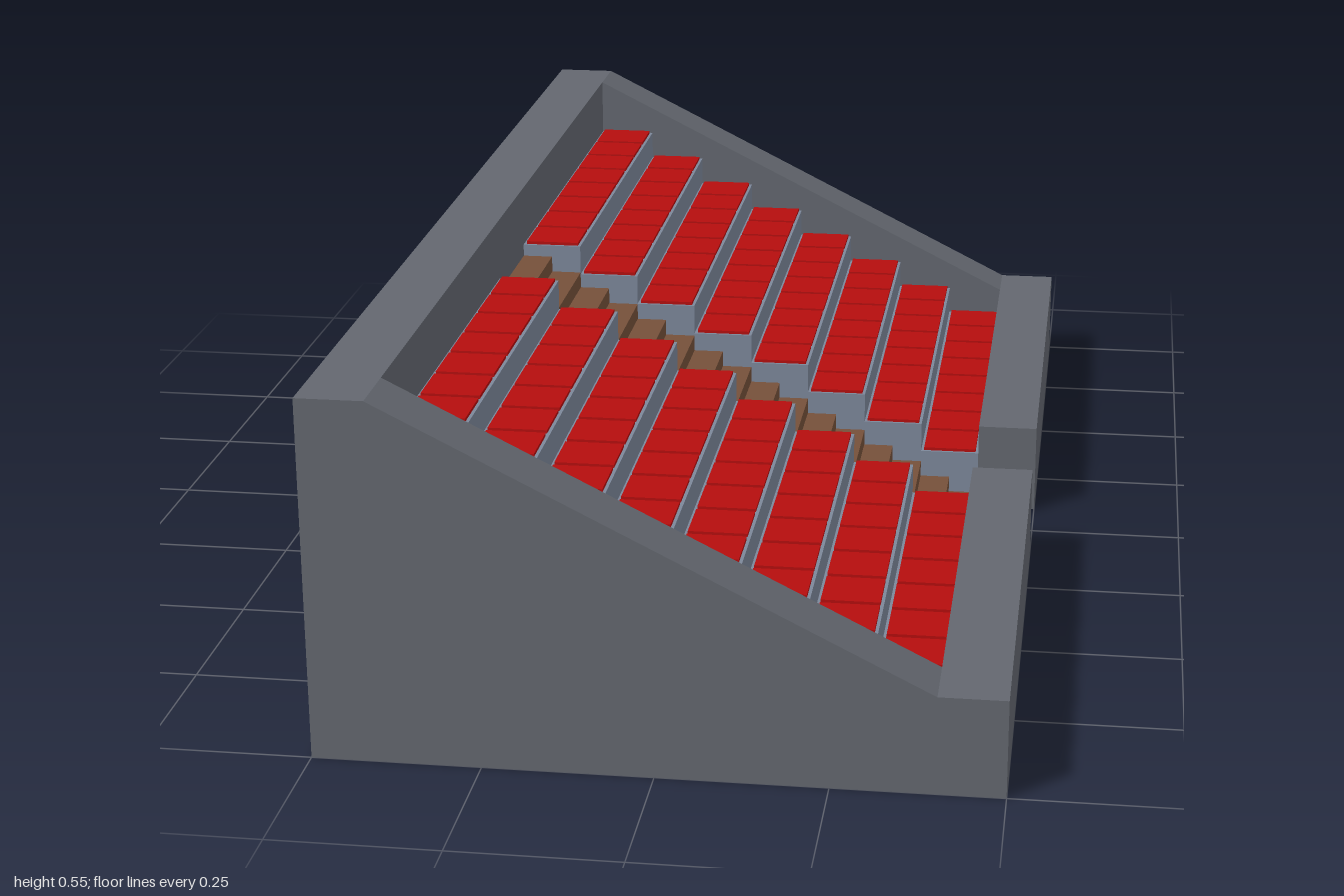
import * as THREE from 'three';

const paint = (color) => new THREE.MeshStandardMaterial({ color, flatShading: true });
const wallMat = paint(0x63676f), tierMat = paint(0x7c879a), seatMat = paint(0xb50d0d), stairMat = paint(0x75503a);

// Box given by its minimum and maximum corners
function block(name, mat, [x0, y0, z0], [x1, y1, z1]) {
  const mesh = new THREE.Mesh(new THREE.BoxGeometry(x1 - x0, y1 - y0, z1 - z0), mat);
  mesh.position.set((x0 + x1) / 2, (y0 + y1) / 2, (z0 + z1) / 2);
  mesh.name = name;
  return mesh;
}

export function createModel() {
  const model = new THREE.Group();
  model.name = 'grandstand';

  // Sloping end walls, extruded from their side profile
  const profile = new THREE.Shape([
    [-0.5, 0], [0.5, 0], [0.5, 0.15], [0.4, 0.15], [-0.4, 0.55], [-0.5, 0.55],
  ].map(([x, y]) => new THREE.Vector2(x, y)));
  const endGeo = new THREE.ExtrudeGeometry(profile, { depth: 0.1, bevelEnabled: false });
  for (const [name, z] of [['frontEndWall', 0.9], ['backEndWall', -1]]) {
    const wall = new THREE.Mesh(endGeo, wallMat);
    wall.name = name;
    wall.position.z = z;
    model.add(wall);
  }

  // Tall wall behind the top row, low wall with an entrance gap before the bottom row
  model.add(block('tallWall', wallMat, [-0.5, 0, -0.9], [-0.4, 0.55, 0.9]));
  model.add(block('lowWallFront', wallMat, [0.4, 0, 0.1], [0.5, 0.15, 0.9]));
  model.add(block('lowWallBack', wallMat, [0.4, 0, -0.9], [0.5, 0.15, -0.1]));

  // Tiers with eight thin seat pads each, on both sides of the aisle
  for (const side of [1, -1]) {
    const stand = new THREE.Group();
    stand.name = side > 0 ? 'frontStand' : 'backStand';
    for (let row = 0; row < 8; row++) {
      const x = 0.35 - row * 0.1, top = 0.1 + row * 0.05, mid = side * 0.5;
      stand.add(block('tier', tierMat, [x - 0.05, top - 0.1, mid - 0.4], [x + 0.05, top, mid + 0.4]));
      for (let i = 0; i < 8; i++) {
        const z = mid - 0.35 + i * 0.1;
        stand.add(block('seat', seatMat, [x - 0.045, top, z - 0.045], [x + 0.045, top + 0.005, z + 0.045]));
      }
    }
    model.add(stand);
  }

  // Aisle stairs
  const stairs = new THREE.Group();
  stairs.name = 'aisleStairs';
  const rise = 0.43 / 16;
  for (let i = 0; i < 16; i++) {
    const x = 0.4 - i * 0.05;
    stairs.add(block('step', stairMat, [x - 0.05, i * rise, -0.1], [x, (i + 1) * rise, 0.1]));
  }
  model.add(stairs);

  return model;
}
